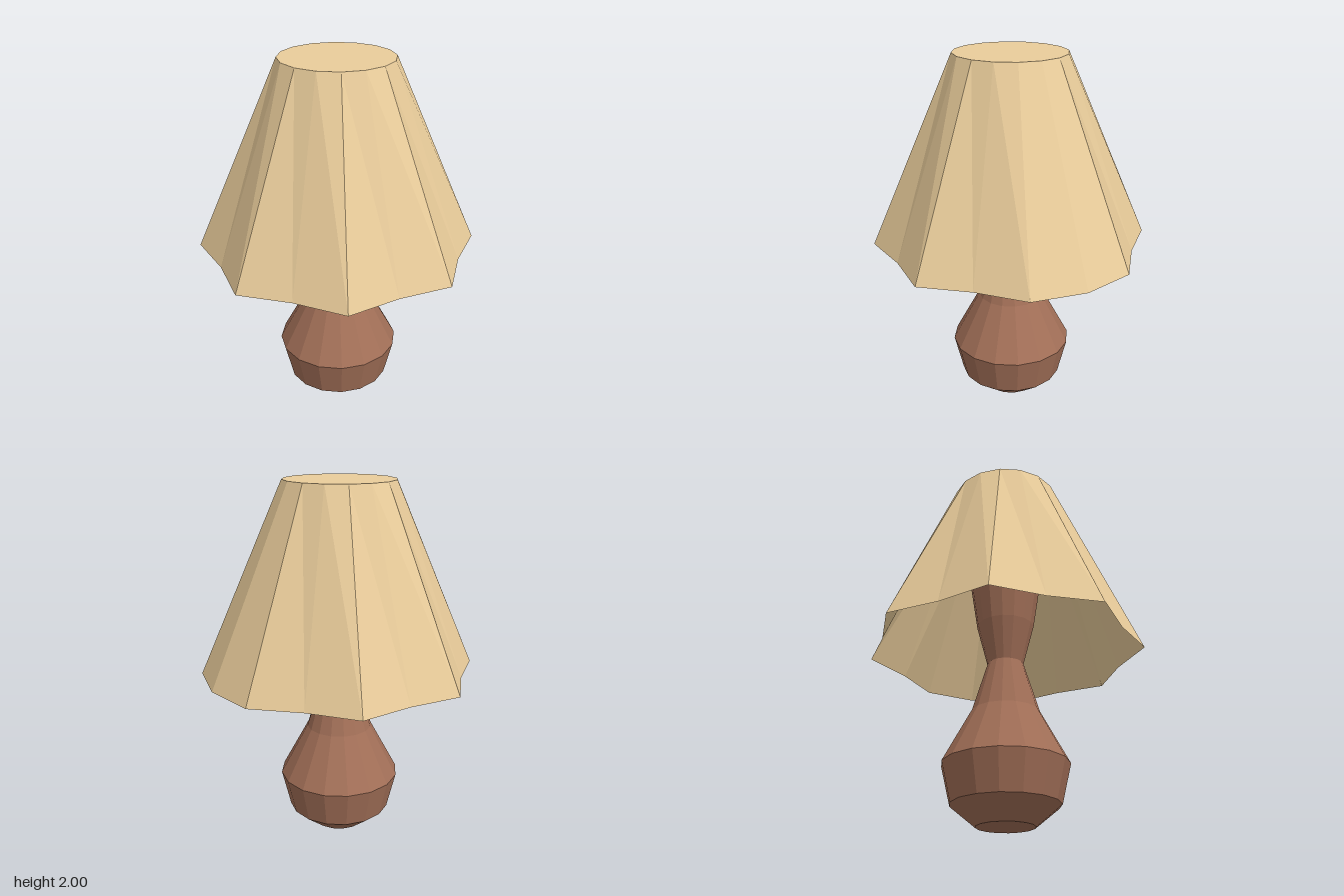
import * as THREE from 'three';

const SIDES = 16;

// Faceted body of revolution from [radius, height] pairs, bottom to top
function turned(name, profile, color, side) {
  const points = profile.map(([r, y]) => new THREE.Vector2(r, y));
  const geometry = new THREE.LatheGeometry(points, SIDES);
  const material = new THREE.MeshStandardMaterial({ color, flatShading: true, side });
  const mesh = new THREE.Mesh(geometry, material);
  mesh.name = name;
  return mesh;
}

// Hem radius: eight points with shallow scallops between them;
// the one on the +x side is pushed out to full width
function hemRadius(step) {
  return step % 2 !== 0 || step === 0 ? 0.766 : 0.685;
}

export function createModel() {
  const lamp = new THREE.Group();
  lamp.name = 'tableLamp';

  // Turned wooden base, its neck flaring again inside the shade
  const base = turned('base', [
    [0, 0], [0.155, 0], [0.29, 0.11], [0.34, 0.32], [0.185, 0.61],
    [0.1, 0.89], [0.16, 1.12], [0.2, 1.38], [0, 1.38],
  ], 0xa37058, THREE.FrontSide);

  // Thin shade, closed on top and open below
  const shade = turned('shade', [[0.7, 0.96], [0.305, 2], [0, 2]], 0xeacd9b, THREE.DoubleSide);

  // Scallop the hem
  const p = shade.geometry.attributes.position;
  for (let i = 0; i < p.count; i++) {
    if (p.getY(i) > 1) continue;
    const angle = Math.atan2(p.getZ(i), p.getX(i));
    const r = hemRadius(Math.round(angle / (2 * Math.PI / SIDES)));
    p.setX(i, r * Math.cos(angle));
    p.setZ(i, r * Math.sin(angle));
  }
  shade.geometry.computeVertexNormals();

  lamp.add(base, shade);
  // The wide hem point shifts the lamp's axis off centre
  for (const part of lamp.children) part.position.x = -0.03;
  return lamp;
}
